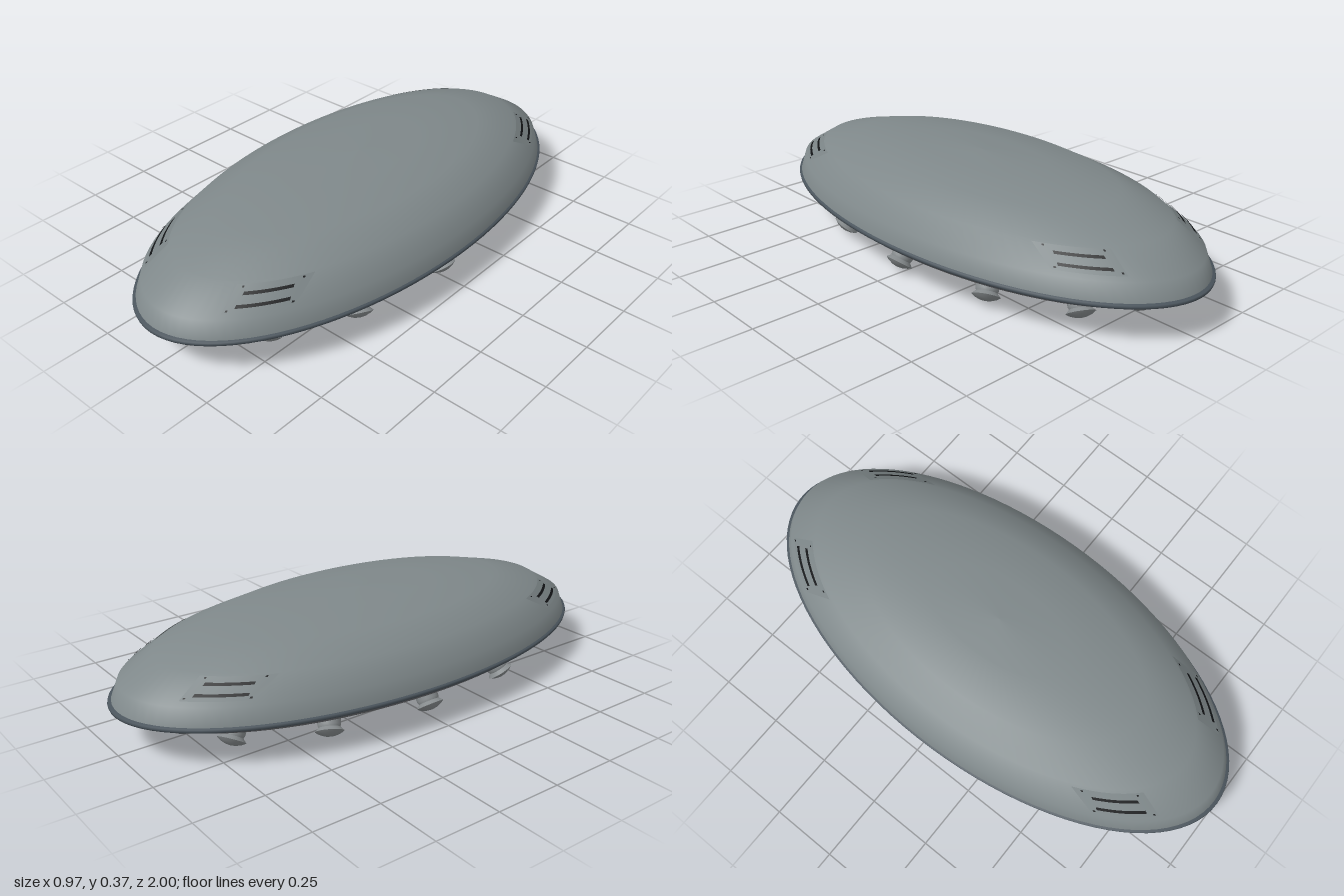
import * as THREE from 'three';

const WIDTH = 0.485; // half width; half length is 1
const SEGMENTS = 96;
const paint = (name, color, side = THREE.FrontSide) => {
  const m = new THREE.MeshStandardMaterial({ color, side });
  m.name = name;
  return m;
};

// Upper hull profile: radius fraction and height
const HULL = [[0.988, 0.15], [0.96, 0.215], [0.83, 0.289], [0.62, 0.344], [0.31, 0.367], [0.0, 0.374]];

function hullRadius(y) {
  for (let i = 1; i < HULL.length; i++) {
    const [r0, y0] = HULL[i - 1], [r1, y1] = HULL[i];
    if (y <= y1) return r0 + (r1 - r0) * (y - y0) / (y1 - y0);
  }
  return 0;
}

// Turned part squeezed into an ellipse
function ellipticLathe(name, profile, material) {
  const geo = new THREE.LatheGeometry(profile.map(([r, y]) => new THREE.Vector2(r, y)), SEGMENTS);
  geo.scale(WIDTH, 1, 1);
  const mesh = new THREE.Mesh(geo, material);
  mesh.name = name;
  return mesh;
}

// Thin patch following the hull; angles in degrees from the nose, [from, to] at bottom and top
function hullPatch(name, bottom, top, y0, y1, lift, sx, sz, material) {
  const geo = new THREE.PlaneGeometry(1, 1, 10, 1);
  const pos = geo.attributes.position;
  const mirrored = sx * sz < 0;
  for (let i = 0; i < pos.count; i++) {
    const u = mirrored ? 0.5 - pos.getX(i) : pos.getX(i) + 0.5;
    const v = pos.getY(i) + 0.5;
    const from = THREE.MathUtils.lerp(bottom[0], top[0], v);
    const to = THREE.MathUtils.lerp(bottom[1], top[1], v);
    const a = THREE.MathUtils.degToRad(THREE.MathUtils.lerp(from, to, u));
    const y = THREE.MathUtils.lerp(y0, y1, v);
    const r = hullRadius(y) + lift;
    pos.setXYZ(i, sx * (r * Math.sin(a)) * WIDTH, y + lift * 0.8, sz * r * Math.cos(a));
  }
  geo.computeVertexNormals();
  const mesh = new THREE.Mesh(geo, material);
  mesh.name = name;
  return mesh;
}

export function createModel() {
  const model = new THREE.Group();
  model.name = 'saucer';
  const hullGrey = paint('hull grey', 0x7f888a);
  const rimGrey = paint('rim slate', 0x4a545c);
  const lipGrey = paint('lip grey', 0x6c6e72);
  const green = paint('belly green', 0x2d6431);
  const podGrey = paint('pod grey', 0x868b8d);
  const black = paint('slot black', 0x121416);
  const plateGrey = paint('vent plate grey', 0x7a8385, THREE.DoubleSide);

  // Body
  model.add(ellipticLathe('upperHull', HULL, hullGrey));
  model.add(ellipticLathe('rim', [[0.975, 0.138], [0.998, 0.14], [1, 0.146], [0.998, 0.152], [0.975, 0.156]], rimGrey));
  model.add(ellipticLathe('lowerLip', [[0.938, 0.117], [0.988, 0.141]], lipGrey));
  model.add(ellipticLathe('lipUnderside', [[0.85, 0.118], [0.938, 0.117]], lipGrey));
  model.add(ellipticLathe('belly', [[0, 0], [0.12, 0.001], [0.4, 0.015], [0.62, 0.043],
    [0.8, 0.083], [0.86, 0.104], [0.866, 0.119]], green));

  // Four slotted vents
  for (const sx of [1, -1]) for (const sz of [1, -1]) {
    const vent = new THREE.Group();
    vent.name = 'vent';
    vent.add(hullPatch('ventPlate', [24, 45], [24, 48.3], 0.227, 0.283, 0.003, sx, sz, plateGrey));
    vent.add(hullPatch('lowerSlot', [27.5, 43], [27.5, 43], 0.236, 0.243, 0.006, sx, sz, black));
    vent.add(hullPatch('upperSlot', [28, 43], [28, 43], 0.261, 0.268, 0.006, sx, sz, black));
    for (const [a, y] of [[25, 0.23], [43.6, 0.23], [26.5, 0.276], [45, 0.276]])
      vent.add(hullPatch('ventBolt', [a, a + 0.7], [a, a + 0.7], y, y + 0.004, 0.006, sx, sz, black));
    model.add(vent);
  }

  // Twelve pods leaning outward under the belly; the axis origin is the flared edge
  const turn = (pts) => new THREE.LatheGeometry(pts.map(([r, y]) => new THREE.Vector2(r, y)), 24);
  const neckGeo = turn([[0.036, 0.012], [0.04, 0.022], [0.041, 0.056]]);
  const flareGeo = turn([[0.05, 0], [0.036, 0.014]]);
  const lensGeo = turn([[0, -0.018], [0.02, -0.015], [0.038, -0.008], [0.05, 0]]);
  for (let i = 0; i < 12; i++) {
    const a = i * Math.PI / 6;
    const pod = new THREE.Group();
    pod.name = 'pod';
    for (const [name, geo] of [['podNeck', neckGeo], ['podFlare', flareGeo], ['podLens', lensGeo]]) {
      const mesh = new THREE.Mesh(geo, podGrey);
      mesh.name = name;
      pod.add(mesh);
    }
    pod.position.set(0.402 * Math.sin(a), 0.042, 0.795 * Math.cos(a));
    pod.rotation.set(-0.64, a, 0, 'YXZ');
    model.add(pod);
  }
  return model;
}
